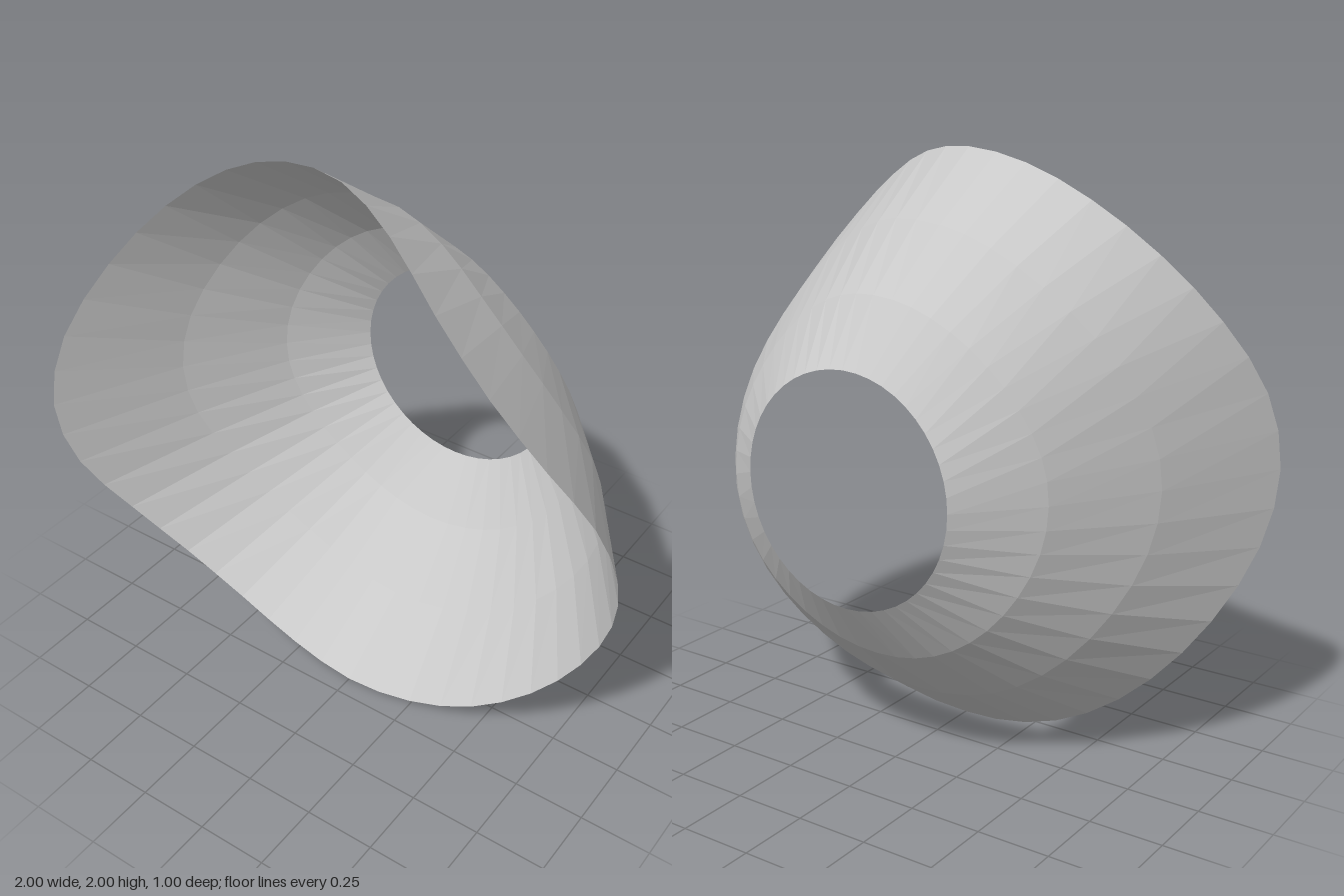
import * as THREE from 'three';

// Depth of the wavy rim every 15 degrees, counter-clockwise from +x
const RIM = [
  0.195, 0.31, 0.44, 0.495, 0.445, 0.31, 0.178, 0.112, 0.105, 0.17, 0.295, 0.44,
  0.5, 0.45, 0.325, 0.22, 0.168, 0.165, 0.178, 0.17, 0.15, 0.115, 0.092, 0.115,
];
const INNER = 0.383, BACK = -0.5, SEGMENTS = 48, RINGS = 3;

// Smooth periodic interpolation of the rim, t in 0..1
function rimDepth(t) {
  const n = RIM.length, f = t * n, i = Math.floor(f), u = f - i;
  const [a, b, c, d] = [-1, 0, 1, 2].map((k) => RIM[(i + k + n) % n]);
  return b + 0.5 * u * (c - a + u * (2 * a - 5 * b + 4 * c - d + u * (3 * (b - c) + d - a)));
}

export function createModel() {
  const model = new THREE.Group();
  const grey = new THREE.MeshStandardMaterial({ color: 0xc8c8c8 });
  grey.name = 'light grey';
  grey.flatShading = true;
  grey.side = THREE.DoubleSide;

  // Open bowl: a flat ring bent into a parabola whose steepness follows the rim
  const geometry = new THREE.RingGeometry(INNER, 1, SEGMENTS, RINGS);
  const p = geometry.attributes.position;
  for (let i = 0; i < p.count; i++) {
    const r = Math.hypot(p.getX(i), p.getY(i));
    const t = (i % (SEGMENTS + 1)) / SEGMENTS;
    const rise = (r * r - INNER * INNER) / (1 - INNER * INNER);
    p.setZ(i, BACK + (rimDepth(t) - BACK) * rise);
  }
  geometry.translate(0, 1, 0);
  geometry.computeVertexNormals();

  const bowl = new THREE.Mesh(geometry, grey);
  bowl.name = 'wavyBowl';
  model.add(bowl);
  return model;
}
